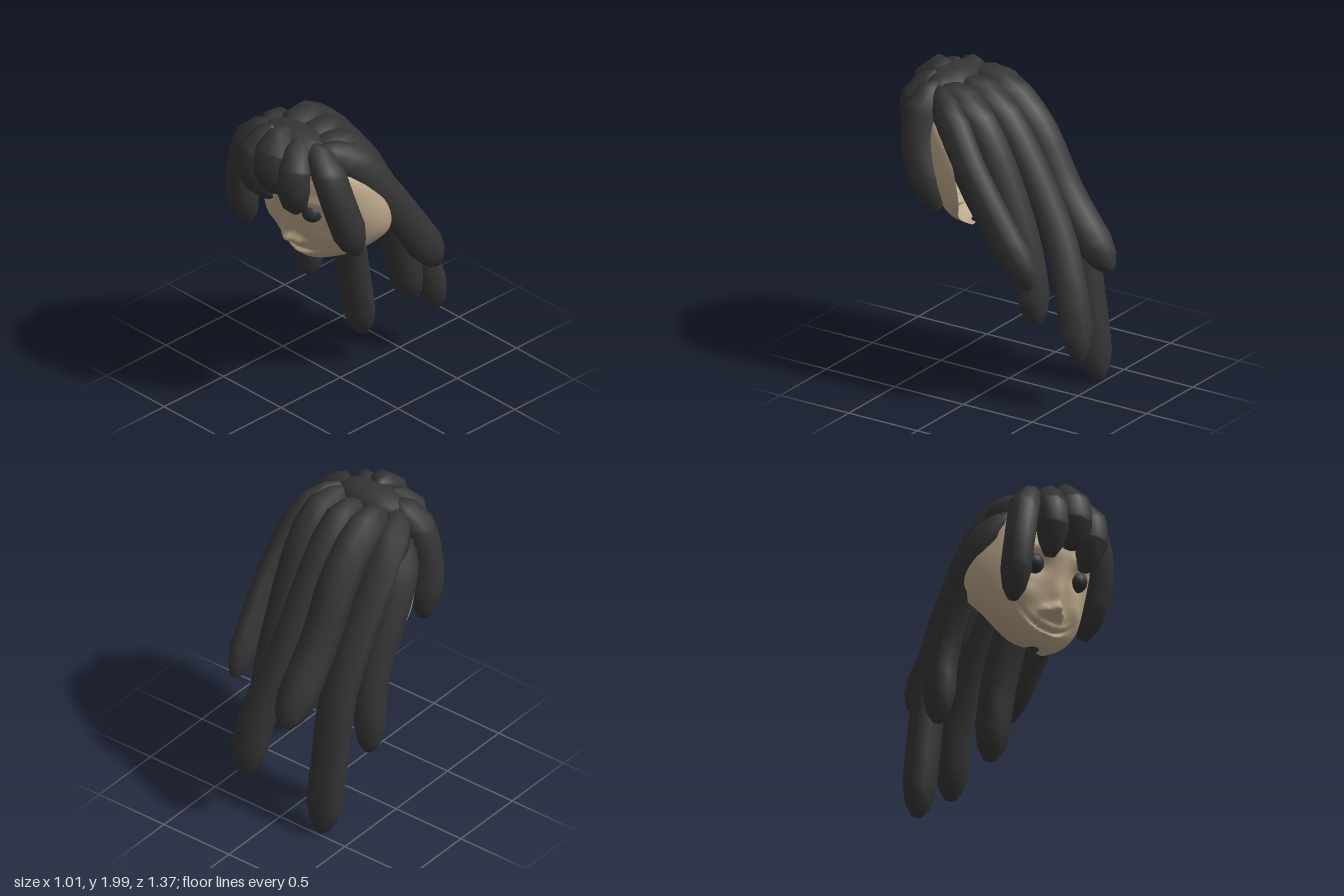
import * as THREE from 'three';
import { mergeVertices } from 'three/addons/utils/BufferGeometryUtils.js';

const V = (p) => new THREE.Vector3(...p);

// Thick lock of hair: an eight-sided tube along a path with rounded, tapering ends
function lockGeometry(path, rx, rz, rings = 9, sides = 8) {
  const curve = new THREE.CatmullRomCurve3(path.map(V));
  const taper = Math.min(0.19 / curve.getLength(), 0.36);
  const tip = [[0, 0], [0, 0.32], [0.4 * taper, 0.76]];
  const stops = [...tip];
  for (let i = 0; i <= rings; i++) stops.push([taper + (1 - 2 * taper) * i / rings, 1]);
  for (const [t, k] of tip.reverse()) stops.push([1 - t, k]);
  const pos = [], index = [];
  stops.forEach(([t, k], i) => {
    const p = curve.getPointAt(t), T = curve.getTangentAt(t);
    const S = new THREE.Vector3(1, 0, 0).addScaledVector(T, -T.x).normalize();
    const U = new THREE.Vector3().crossVectors(T, S);
    for (let j = 0; j < sides; j++) {
      const a = (j + 0.5) / sides * Math.PI * 2;
      const q = p.clone().addScaledVector(S, Math.cos(a) * rx * k).addScaledVector(U, Math.sin(a) * rz * k);
      pos.push(q.x, q.y, q.z);
      if (i === stops.length - 1) continue;
      const A = i * sides + j, B = i * sides + (j + 1) % sides;
      index.push(A, B, A + sides, B, B + sides, A + sides);
    }
  });
  const g = new THREE.BufferGeometry();
  g.setAttribute('position', new THREE.Float32BufferAttribute(pos, 3));
  g.setIndex(index);
  const merged = mergeVertices(g, 1e-4);
  merged.computeVertexNormals();
  return merged;
}

// Open face shell: half-ellipse rows (half width, y) and (front z, back z) with sculpted features
function faceGeometry() {
  const rows = [
    [0.05, 1.0, 0.27, 0.21], [0.16, 1.03, 0.32, 0.17], [0.34, 1.14, 0.375, 0.14],
    [0.48, 1.31, 0.435, 0.05], [0.48, 1.52, 0.505, 0.09], [0.36, 1.74, 0.51, 0.26],
    [0.05, 1.88, 0.43, 0.39],
  ];
  const outline = new THREE.SplineCurve(rows.map((r) => new THREE.Vector2(r[0], r[1])));
  const depth = new THREE.SplineCurve(rows.map((r) => new THREE.Vector2(r[2], r[3])));
  const bump = (x, y, cx, cy, sx, sy) => Math.exp(-(((x - cx) / sx) ** 2) - ((y - cy) / sy) ** 2);
  const g = new THREE.PlaneGeometry(1, 1, 64, 72);
  const p = g.attributes.position;
  for (let i = 0; i < p.count; i++) {
    const u = p.getX(i) * Math.PI, v = p.getY(i) + 0.5;
    const o = outline.getPoint(v), d = depth.getPoint(v);
    const x = o.x * Math.sin(u), y = o.y, c = Math.max(0, Math.cos(u)), ax = Math.abs(x);
    const smile = y - 1.075 - 1.8 * x * x;
    let f = 0.07 * bump(x, y, 0, 1.195, 0.05, 0.04);         // nose tip
    f += 0.04 * bump(x, y, 0, 1.29, 0.045, 0.09);            // nose bridge
    f += 0.035 * bump(ax, y, 0.07, 1.18, 0.028, 0.028);      // nostrils
    f -= 0.035 * bump(ax, y, 0.18, 1.44, 0.09, 0.06);        // eye sockets
    f += 0.02 * bump(ax, y, 0.18, 1.54, 0.12, 0.035);        // brows
    f += 0.02 * bump(ax, y, 0.22, 1.26, 0.08, 0.06);         // cheeks
    f -= 0.025 * bump(x, smile, 0, 0.012, 0.15, 0.012);      // mouth crease
    f += 0.02 * bump(x, smile, 0, -0.015, 0.12, 0.015);      // lower lip
    f += 0.015 * bump(x, smile, 0, 0.037, 0.12, 0.014);      // upper lip
    p.setXYZ(i, x, y, d.y + (d.x - d.y) * c + f * Math.min(1, c * 1.5));
  }
  g.computeVertexNormals();
  return g;
}

export function createModel() {
  const hair = new THREE.MeshStandardMaterial({ color: 0x353535 });
  hair.name = 'charcoal hair';
  const skin = new THREE.MeshStandardMaterial({ color: 0xbba68a, side: THREE.DoubleSide });
  skin.name = 'tan skin';
  const dark = new THREE.MeshStandardMaterial({ color: 0x303136 });
  dark.name = 'dark eye';

  const model = new THREE.Group();
  model.name = 'longHairedHead';
  const add = (name, geometry, material, at = [0, 0, 0], scale = [1, 1, 1]) => {
    const m = new THREE.Mesh(geometry, material);
    m.name = name;
    m.position.set(...at);
    m.scale.set(...scale);
    model.add(m);
  };
  const addLock = (name, rx, rz, ...path) => add(name, lockGeometry(path, rx, rz), hair);

  // Face, eyes and the short fringe locks, mirrored
  add('face', faceGeometry(), skin);
  for (const s of [1, -1]) {
    const side = s > 0 ? 'left' : 'right';
    add(side + 'Eye', new THREE.SphereGeometry(0.066, 20, 14), dark, [s * 0.19, 1.45, 0.42]);
    addLock(side + 'ShortFringe', 0.108, 0.105, [s * 0.1, 1.94, 0.45], [s * 0.165, 1.8, 0.545], [s * 0.17, 1.65, 0.56], [s * 0.148, 1.48, 0.515]);
  }

  // Crown that the locks grow from
  add('crown', new THREE.SphereGeometry(1, 12, 8), hair, [0, 1.88, 0.4], [0.24, 0.095, 0.14]);

  // Middle and long fringe
  addLock('middleFringe', 0.122, 0.11, [0, 1.97, 0.44], [0, 1.89, 0.54], [0, 1.75, 0.582], [0, 1.57, 0.54]);
  addLock('leftLongFringe', 0.098, 0.11, [0.18, 1.91, 0.4], [0.3, 1.82, 0.42], [0.4, 1.57, 0.395], [0.415, 1.19, 0.26]);
  addLock('rightLongFringe', 0.098, 0.105, [-0.18, 1.92, 0.42], [-0.29, 1.81, 0.455], [-0.37, 1.53, 0.475], [-0.37, 1.15, 0.42]);

  // Long locks falling down the back
  addLock('rightOuterLock', 0.096, 0.112, [-0.3, 1.76, 0.34], [-0.4, 1.56, 0.17], [-0.41, 1.0, -0.11], [-0.42, 0.5, -0.16]);
  addLock('rightLongLock', 0.122, 0.094, [-0.23, 1.88, 0.38], [-0.3, 1.74, 0.17], [-0.3, 1.0, -0.29], [-0.295, 0.5, -0.39], [-0.29, 0.01, -0.46]);
  addLock('rightBackLock', 0.125, 0.118, [-0.13, 1.88, 0.34], [-0.14, 1.83, 0.12], [-0.145, 1.63, -0.1], [-0.145, 1.25, -0.31], [-0.14, 0.81, -0.64]);
  addLock('middleBackLock', 0.12, 0.1, [0.03, 1.88, 0.33], [0.03, 1.82, 0.1], [0.06, 1.1, -0.38], [0.14, 0.7, -0.55], [0.18, 0.33, -0.63]);
  addLock('leftBackLock', 0.122, 0.104, [0.17, 1.89, 0.36], [0.21, 1.79, 0.12], [0.22, 1.1, -0.23], [0.24, 0.53, -0.36]);
  addLock('leftOuterLock', 0.086, 0.118, [0.22, 1.89, 0.38], [0.34, 1.76, 0.2], [0.405, 1.5, 0.02], [0.41, 0.83, -0.43]);
  return model;
}
